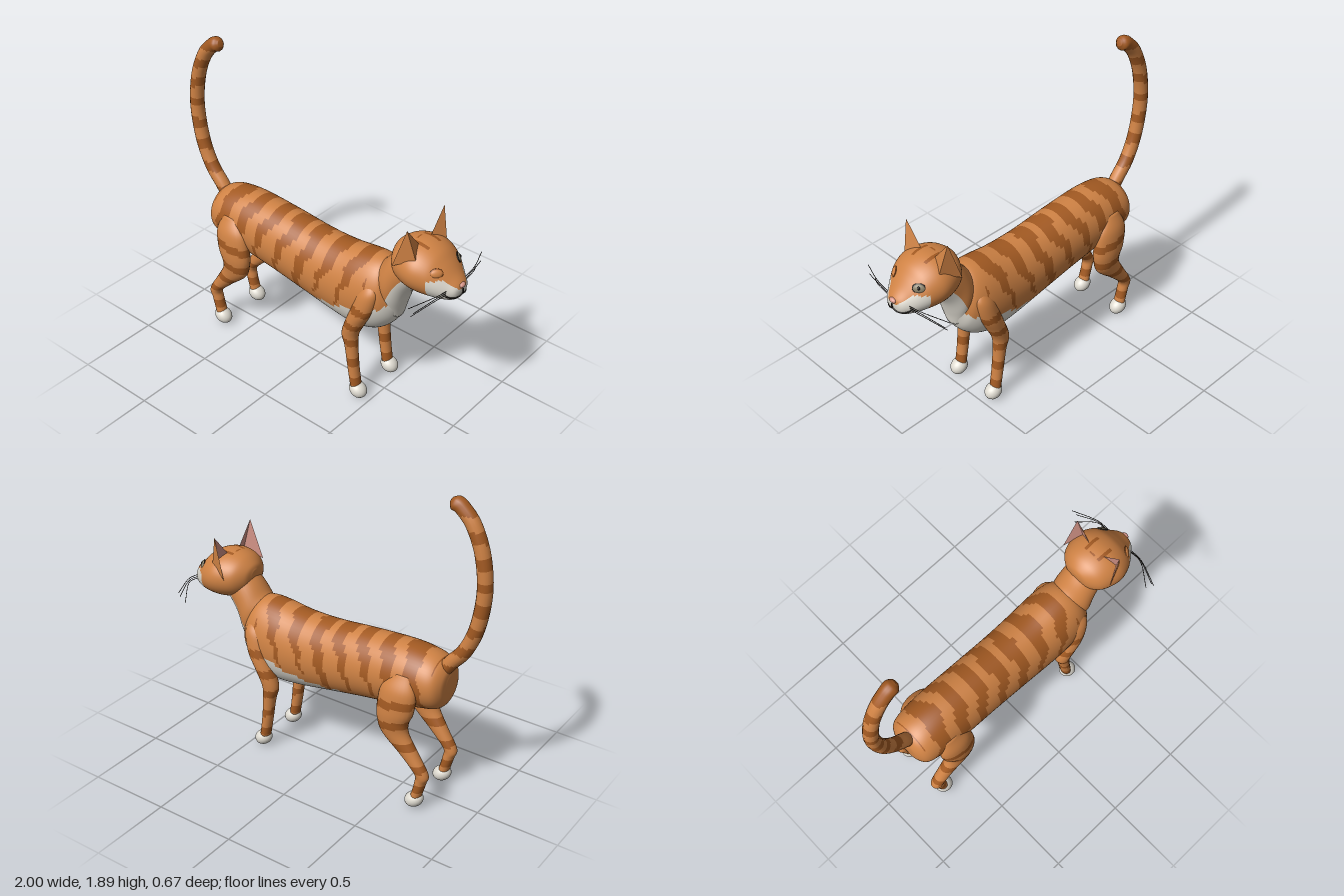
import * as THREE from 'three';

const mat = (name, color) => { const m = new THREE.MeshStandardMaterial({ color }); m.name = name; return m; };
const orange = mat('orange fur', 0xcf8244);
const brown = mat('brown stripe', 0xa35a22);
const white = mat('white fur', 0xdedad0);
const pink = mat('pink skin', 0xd8978a);
const black = mat('black line', 0x1c1814);
const iris = mat('grey eye', 0x8a8068);
const FUR = [orange, brown, white];
const O = 0, S = 1, W = 2;
const fract = (v) => v - Math.floor(v);

// Lofts ellipses given as [topX, topY, bottomX, bottomY, halfWidth, centreZ];
// colourOf(x, y, z, cosAngle, t) picks the fur colour of every face.
function loft(name, rings, colourOf, steps, sides, side = 1) {
  const curve = (f) => new THREE.CatmullRomCurve3(rings.map(f), false, 'catmullrom', 0.5);
  const top = curve((r) => new THREE.Vector3(r[0], r[1], 0));
  const bottom = curve((r) => new THREE.Vector3(r[2], r[3], 0));
  const width = curve((r) => new THREE.Vector3(r[4], (r[5] || 0) * side, 0));
  const pos = [], faces = [[], [], []], ends = [];
  for (let i = 0; i <= steps; i++) {
    const t = i / steps, a = top.getPoint(t), b = bottom.getPoint(t), w = width.getPoint(t);
    const mx = (a.x + b.x) / 2, my = (a.y + b.y) / 2;
    for (let j = 0; j < sides; j++) {
      const q = (j / sides) * Math.PI * 2, c = Math.cos(q);
      pos.push(mx + c * (a.x - mx), my + c * (a.y - my), w.y + Math.sin(q) * w.x);
    }
    if (i === 0 || i === steps) ends.push(mx, my, w.y);
  }
  const first = pos.length / 3;
  pos.push(...ends);
  const pick = (ids, j, t) => {
    const m = [0, 1, 2].map((k) => ids.reduce((s, id) => s + pos[id * 3 + k], 0) / ids.length);
    return faces[colourOf(m[0], m[1], m[2], Math.cos(((j + 0.5) / sides) * Math.PI * 2), t)];
  };
  for (let j = 0; j < sides; j++) {
    const k = (j + 1) % sides, l = steps * sides;
    for (let i = 0; i < steps; i++) {
      const a = i * sides + j, b = i * sides + k, c = a + sides, d = b + sides;
      pick([a, b, c, d], j, (i + 0.5) / steps).push(a, b, c, b, d, c);
    }
    pick([first, k, j], j, 0).push(first, k, j);
    pick([first + 1, l + j, l + k], j, 1).push(first + 1, l + j, l + k);
  }
  const g = new THREE.BufferGeometry();
  g.setAttribute('position', new THREE.Float32BufferAttribute(pos, 3));
  g.setIndex(faces.flat());
  let start = 0;
  faces.forEach((f, i) => { if (f.length) g.addGroup(start, f.length, i); start += f.length; });
  g.computeVertexNormals();
  const mesh = new THREE.Mesh(g, FUR);
  mesh.name = name;
  return mesh;
}

function ball(name, material, p, size, rotZ = 0) {
  const m = new THREE.Mesh(new THREE.SphereGeometry(1, 20, 14), material);
  m.name = name;
  m.position.set(...p);
  m.scale.set(...size);
  m.rotation.z = rotZ;
  return m;
}

function line(name, points, r) {
  const path = new THREE.CatmullRomCurve3(points.map((p) => new THREE.Vector3(...p)));
  const m = new THREE.Mesh(new THREE.TubeGeometry(path, 12, r, 5), black);
  m.name = name;
  return m;
}

// Flat facets; corner order is reversed on the mirrored side
function facets(name, material, tris, side) {
  const pts = tris.flatMap((t) => (side > 0 ? t : [t[0], t[2], t[1]]));
  const g = new THREE.BufferGeometry();
  g.setAttribute('position', new THREE.Float32BufferAttribute(pts.flatMap((p) => [p[0], p[1], p[2] * side]), 3));
  g.computeVertexNormals();
  const m = new THREE.Mesh(g, material);
  m.name = name;
  return m;
}

// Slanted stripes that narrow down the flanks, and a pale belly and chest
function bodyColour(x, y) {
  const belly = 0.555 + 0.36 * Math.max(0, x) ** 1.5 + 0.008 * Math.sin(x * 45);
  if (x > -0.43 && y < belly) return W;
  const drop = 0.94 - y;
  const k = (x + 0.22 * drop + 0.012 * Math.sin(y * 42 + x * 9)) / 0.16;
  const wide = 0.58 - 1.3 * drop * (0.75 + 0.5 * Math.abs(Math.sin(Math.floor(k) * 2.3)));
  return x > -0.73 && x < 0.46 && fract(k) < wide ? S : O;
}

function headColour(x, y, z) {
  const az = Math.abs(z);
  if (x > 0.855 && y < 0.985 + 0.06 * Math.min(1, Math.max(0, (az - 0.03) / 0.06))) return W;
  if (x > 0.72 && y < 0.915) return W;
  const mark = az < 0.01 || Math.abs(az - 0.045) < 0.008;
  return mark && x > 0.69 && x < 0.8 && y > 1.1 ? S : O;
}

const legColour = (x, y) => (y < 0.7 && fract((y - 0.02 + 0.15 * x) / 0.135) < 0.38 ? S : O);

export function createModel() {
  const cat = new THREE.Group();
  cat.name = 'cat';

  // Torso, neck and head
  cat.add(loft('body', [
    [-0.782, 0.83, -0.782, 0.73, 0.04], [-0.772, 0.88, -0.775, 0.67, 0.1], [-0.73, 0.925, -0.74, 0.625, 0.15],
    [-0.65, 0.953, -0.65, 0.6, 0.17], [-0.5, 0.965, -0.5, 0.57, 0.178], [-0.25, 0.952, -0.25, 0.53, 0.178],
    [0, 0.93, 0, 0.485, 0.18], [0.2, 0.93, 0.2, 0.45, 0.185], [0.36, 0.95, 0.35, 0.438, 0.188],
    [0.45, 0.955, 0.48, 0.475, 0.178], [0.5, 0.945, 0.57, 0.56, 0.15], [0.52, 0.92, 0.61, 0.66, 0.11],
  ], bodyColour, 110, 56));
  cat.add(loft('neck', [
    [0.44, 0.92, 0.6, 0.6, 0.11], [0.49, 0.955, 0.62, 0.69, 0.13], [0.55, 1.03, 0.66, 0.8, 0.122], [0.64, 1.12, 0.74, 0.91, 0.11],
  ], (x, y, z, c) => (c < -0.3 ? W : O), 20, 36));
  cat.add(loft('head', [
    [0.565, 1.09, 0.57, 1.01, 0.03], [0.58, 1.125, 0.585, 0.97, 0.09], [0.63, 1.165, 0.63, 0.925, 0.15],
    [0.7, 1.185, 0.7, 0.9, 0.18], [0.77, 1.183, 0.77, 0.892, 0.187], [0.84, 1.155, 0.84, 0.89, 0.165],
    [0.89, 1.11, 0.9, 0.892, 0.132], [0.94, 1.055, 0.95, 0.9, 0.092], [0.975, 1.02, 0.98, 0.925, 0.06],
    [0.99, 1.0, 0.99, 0.965, 0.02],
  ], headColour, 60, 56));

  // Raised tail with a dark tip
  const tailPath = [[-0.72, 0.84], [-0.78, 0.92], [-0.86, 1.02], [-0.925, 1.18], [-0.955, 1.4], [-0.93, 1.6], [-0.87, 1.75], [-0.8, 1.83], [-0.76, 1.85], [-0.735, 1.86]];
  const tailRings = tailPath.map(([x, y], i) => {
    const a = tailPath[Math.max(0, i - 1)], b = tailPath[Math.min(tailPath.length - 1, i + 1)];
    const l = Math.hypot(b[0] - a[0], b[1] - a[1]), r = i === tailPath.length - 1 ? 0.02 : 0.043;
    const nx = (-(b[1] - a[1]) / l) * r, ny = ((b[0] - a[0]) / l) * r;
    return [x + nx, y + ny, x - nx, y - ny, r];
  });
  cat.add(loft('tail', tailRings, (x, y) => (y > 1.81 || fract((y - 0.05) / 0.135) < 0.45 ? S : O), 80, 16));

  for (const s of [1, -1]) {
    const side = s > 0 ? 'near' : 'far';
    // Legs, from the hip or shoulder down
    cat.add(loft(side + 'ForeLeg', [
      [0.49, 0.84, 0.43, 0.83, 0.02, 0.125], [0.53, 0.78, 0.39, 0.74, 0.05, 0.14], [0.51, 0.66, 0.355, 0.61, 0.06, 0.148],
      [0.455, 0.55, 0.32, 0.51, 0.056, 0.15], [0.41, 0.45, 0.303, 0.43, 0.048, 0.15], [0.405, 0.36, 0.325, 0.35, 0.04, 0.15],
      [0.418, 0.2, 0.35, 0.2, 0.037, 0.15], [0.435, 0.08, 0.372, 0.08, 0.037, 0.15],
    ], legColour, 60, 24, s));
    cat.add(loft(side + 'HindLeg', [
      [-0.52, 0.84, -0.62, 0.84, 0.02, 0.15], [-0.445, 0.75, -0.66, 0.74, 0.055, 0.165], [-0.42, 0.62, -0.65, 0.62, 0.066, 0.168],
      [-0.425, 0.54, -0.62, 0.54, 0.062, 0.168], [-0.455, 0.455, -0.625, 0.47, 0.054, 0.165], [-0.575, 0.345, -0.685, 0.365, 0.044, 0.16],
      [-0.672, 0.245, -0.755, 0.245, 0.038, 0.158], [-0.673, 0.18, -0.743, 0.185, 0.036, 0.155], [-0.65, 0.08, -0.713, 0.08, 0.037, 0.155],
    ], legColour, 60, 24, s));
    cat.add(ball(side + 'ForePaw', white, [0.42, 0.053, 0.15 * s], [0.058, 0.046, 0.05], -0.5));
    cat.add(ball(side + 'HindPaw', white, [-0.67, 0.056, 0.155 * s], [0.06, 0.046, 0.05], -0.5));

    // Folded ears, pink in the hollow
    const tip = [0.73, 1.315, 0.165], outer = [0.655, 1.07, 0.185], inner = [0.73, 1.165, 0.045];
    const front = [0.775, 1.135, 0.14], hollow = [0.757, 1.135, 0.132];
    cat.add(facets(side + 'Ear', orange, [[outer, front, tip], [front, inner, tip]], s));
    cat.add(facets(side + 'EarInner', pink, [[outer, tip, hollow], [hollow, tip, inner]], s));

    // Eyes: one lidded, one open
    const at = new THREE.Vector3(0.884, 1.08, 0.1 * s), out = new THREE.Vector3(0.7, 0.4, 0.6 * s).normalize();
    const eye = ball(side + 'Eye', s > 0 ? orange : iris, at.toArray(), [0.034, 0.024, 0.012]);
    const rim = ball(side + 'EyeRim', s > 0 ? brown : black, at.toArray(), [0.038, 0.028, 0.007]);
    for (const m of [eye, rim]) m.lookAt(at.clone().add(out));
    cat.add(eye, rim);
    if (s < 0) cat.add(ball('pupil', black, at.clone().addScaledVector(out, 0.007).toArray(), [0.008, 0.014, 0.009]));

    // Mouth corner and whiskers
    cat.add(line(side + 'Mouth', [[0.99, 0.95, 0], [0.984, 0.938, 0.03 * s], [0.967, 0.94, 0.063 * s], [0.942, 0.955, 0.092 * s]], 0.005));
    for (const [y0, y1, x1, z1] of [[0.985, 0.985, 0.88, 0.335], [0.972, 0.945, 0.895, 0.31], [0.96, 0.905, 0.87, 0.295]]) {
      cat.add(line(side + 'Whisker', [[0.945, y0, 0.075 * s], [0.94, y0 + 0.012, 0.17 * s], [x1, y1, z1 * s]], 0.002));
    }
  }
  cat.add(line('mouthCleft', [[0.992, 0.985, 0], [0.993, 0.967, 0], [0.99, 0.95, 0]], 0.004));
  cat.add(ball('nose', pink, [0.983, 1.0, 0], [0.016, 0.015, 0.024]));
  return cat;
}
